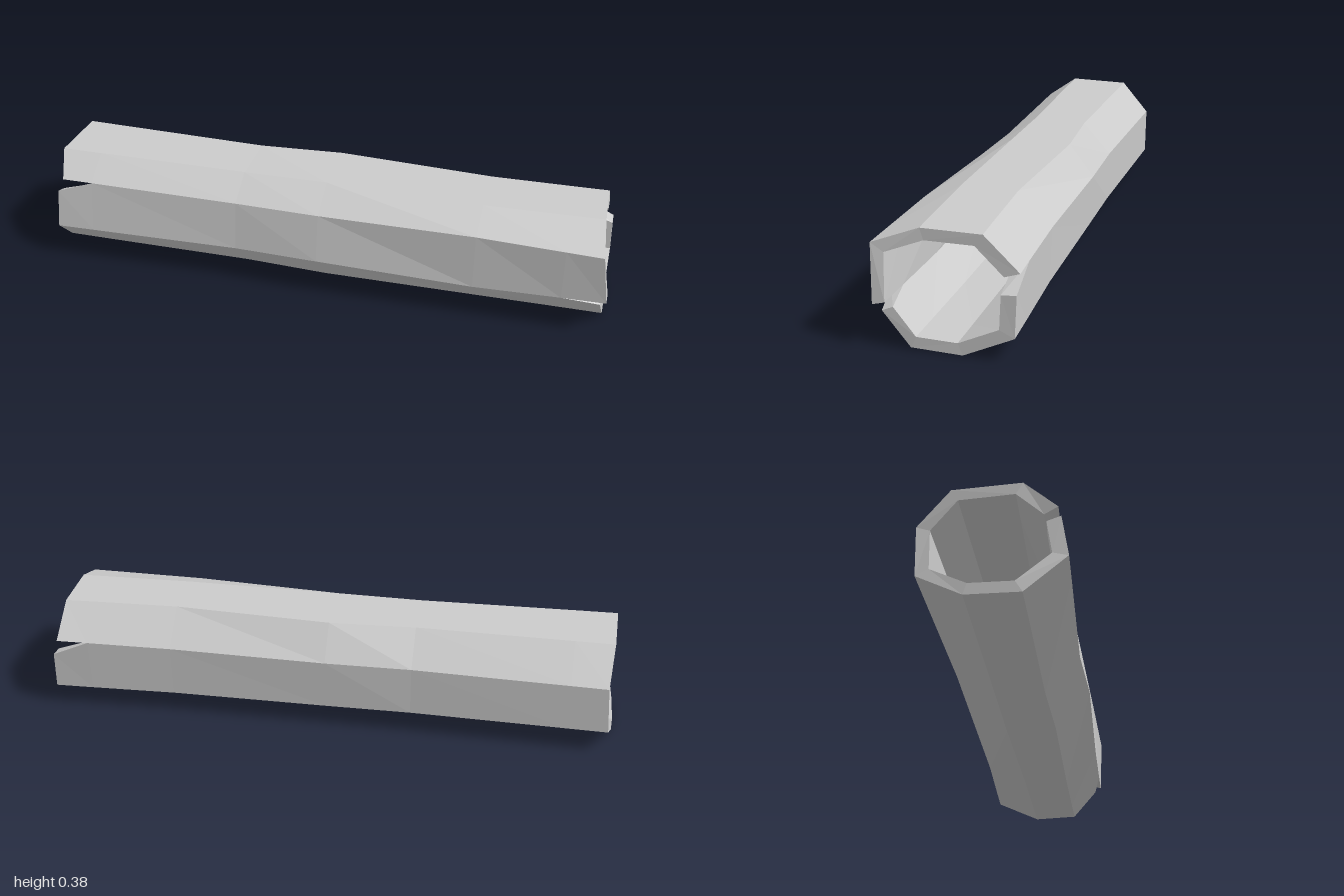
import * as THREE from 'three';

// Octagonal cross-sections [z, y], running front-lower > bottom > back > top > front-upper
const SECTIONS = [
  { x: -0.97, p: [[0.243, 0.128], [0.112, 0.004], [-0.06, 0.006], [-0.205, 0.088], [-0.21, 0.262], [-0.106, 0.378], [0.112, 0.38], [0.212, 0.312]] },
  { x: -0.3, p: [[0.218, 0.134], [0.1, 0.006], [-0.066, 0.004], [-0.2, 0.085], [-0.206, 0.264], [-0.106, 0.375], [0.09, 0.376], [0.196, 0.309]] },
  { x: 0, p: [[0.228, 0.14], [0.105, 0.004], [-0.07, 0.004], [-0.205, 0.082], [-0.217, 0.264], [-0.13, 0.377], [0.084, 0.379], [0.2, 0.312]] },
  { x: 0.55, p: [[0.21, 0.126], [0.092, 0.006], [-0.07, 0.004], [-0.215, 0.08], [-0.224, 0.267], [-0.112, 0.377], [0.08, 0.377], [0.205, 0.327]] },
  { x: 0.97, p: [[0.2, 0.138], [0.085, 0.01], [-0.075, 0.003], [-0.235, 0.077], [-0.245, 0.27], [-0.132, 0.375], [0.06, 0.378], [0.21, 0.323]] },
];
const STATIONS = [-0.97, -0.84, -0.3, 0, 0.55, 0.85, 0.97];
const LAST = STATIONS.length - 1;

// Columns along the log; split corners appear twice so they can open into a crack
const CORNER = [0, 0, 1, 2, 3, 4, 4, 5, 6, 7, 7];
const RIGHT_X = [1, 0.98, 0.99, 0.985, 0.985, 0.98, 0.96, 0.955, 0.96, 0.975, 0.975];
const LEFT_X = [-0.975, -0.975, -1, -1, -0.98, -0.965, -0.965, -0.975, -0.985, -0.95, -0.97];
const CRACKS = [{ col: 0, seg: LAST - 1 }, { col: 5, seg: LAST - 1 }, { col: 9, seg: 0 }];
// Opened lips of the cracks: station, column, [z, y]
const LIPS = [[LAST, 1, 0.178, 0.113], [LAST, 5, -0.24, 0.21], [0, 10, 0.222, 0.266]];

function sectionPoint(x, k) {
  let s = 0;
  while (s < SECTIONS.length - 2 && x > SECTIONS[s + 1].x) s++;
  const a = SECTIONS[s], b = SECTIONS[s + 1];
  const t = (x - a.x) / (b.x - a.x);
  return [0, 1].map((c) => THREE.MathUtils.lerp(a.p[k][c], b.p[k][c], t));
}

function outerPoint(i, j) {
  const lip = LIPS.find((l) => l[0] === i && l[1] === j);
  const [z, y] = lip ? [lip[2], lip[3]] : sectionPoint(STATIONS[i], CORNER[j]);
  const x = i === 0 ? LEFT_X[j] : i === LAST ? RIGHT_X[j] : STATIONS[i];
  return new THREE.Vector3(x, y, z);
}

function createLogGeometry() {
  const n = CORNER.length;
  const outer = STATIONS.map((_, i) => CORNER.map((_, j) => outerPoint(i, j)));
  // Bark thickness: draw each ring in towards the log's axis
  const inner = outer.map((ring) => ring.map((p) =>
    new THREE.Vector3(p.x, 0.19 + (p.y - 0.19) * 0.8, p.z * 0.8)));
  const positions = [];
  const quad = (a, b, c, d) => [a, b, c, a, c, d].forEach((v) => positions.push(v.x, v.y, v.z));

  for (let j = 0; j < n; j++) {
    if (CRACKS.some((c) => c.col === j)) continue;
    const k = (j + 1) % n;
    // Outer and inner walls
    for (let i = 0; i < LAST; i++) {
      quad(outer[i][j], outer[i][k], outer[i + 1][k], outer[i + 1][j]);
      quad(inner[i][j], inner[i + 1][j], inner[i + 1][k], inner[i][k]);
    }
    // End rims
    quad(outer[LAST][j], outer[LAST][k], inner[LAST][k], inner[LAST][j]);
    quad(outer[0][j], inner[0][j], inner[0][k], outer[0][k]);
  }
  // Side walls of the cracks
  for (const { col, seg } of CRACKS) {
    const e = seg + 1, b = col + 1;
    quad(outer[seg][col], inner[seg][col], inner[e][col], outer[e][col]);
    quad(outer[seg][b], outer[e][b], inner[e][b], inner[seg][b]);
  }
  const geometry = new THREE.BufferGeometry();
  geometry.setAttribute('position', new THREE.Float32BufferAttribute(positions, 3));
  geometry.computeVertexNormals();
  return geometry;
}

export function createModel() {
  const group = new THREE.Group();
  group.name = 'hollowLog';
  const material = new THREE.MeshStandardMaterial({ color: 0xcccccc, flatShading: true });
  const shell = new THREE.Mesh(createLogGeometry(), material);
  shell.name = 'logShell';
  group.add(shell);
  return group;
}
